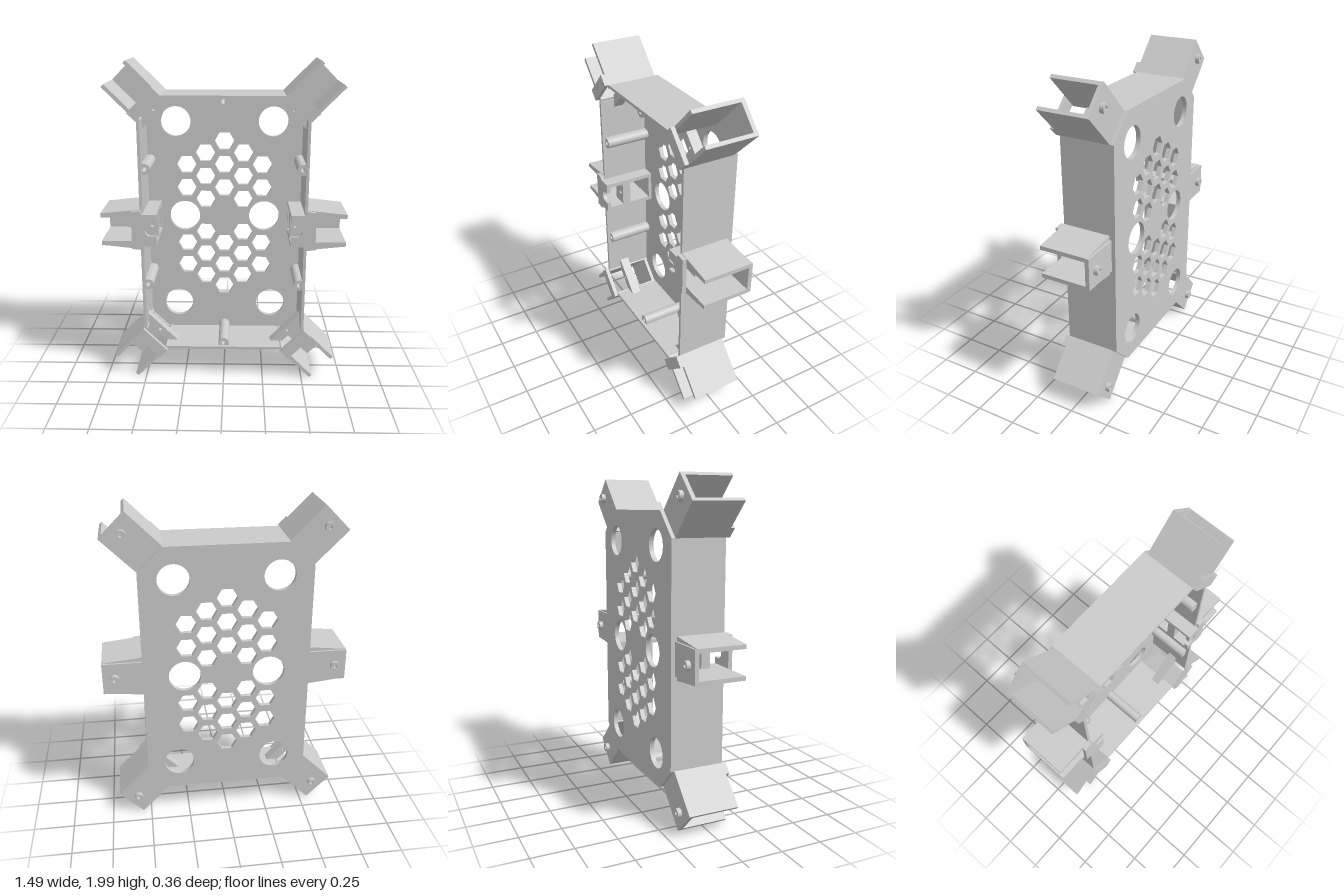
import * as THREE from 'three';

const material = new THREE.MeshStandardMaterial({ color: 0xcccccc, flatShading: true });
const MID = 1.0025;               // height of the centre of the frame
const HW = 0.505, HH = 0.8025;    // half width and half height of the tray
const CUT = 0.145;                // corner chamfer
const BACK = -0.178, FRONT = 0.155, WALL = 0.018;

function add(parent, name, geometry) {
  const mesh = new THREE.Mesh(geometry, material);
  mesh.name = name;
  parent.add(mesh);
  return mesh;
}

// Box given by its limits on each axis
function box(parent, name, x0, x1, y0, y1, z0, z1) {
  const g = new THREE.BoxGeometry(x1 - x0, y1 - y0, z1 - z0);
  g.translate((x0 + x1) / 2, (y0 + y1) / 2, (z0 + z1) / 2);
  return add(parent, name, g);
}

const polygon = pts => new THREE.Shape(pts.map(p => new THREE.Vector2(...p)));

function circle(x, y, r) {
  return new THREE.Path().absarc(x, y, r, 0, Math.PI * 2, true);
}

// Flat-topped hexagon
function hexagon(x, y, r) {
  const pts = [];
  for (let i = 0; i < 6; i++) {
    const a = -i * Math.PI / 3;
    pts.push(new THREE.Vector2(x + r * Math.cos(a), y + r * Math.sin(a)));
  }
  return new THREE.Path(pts);
}

// Extrude a shape between two z levels
function slab(parent, name, shape, z0, z1) {
  const g = new THREE.ExtrudeGeometry(shape, { depth: z1 - z0, bevelEnabled: false, curveSegments: 24 });
  g.translate(0, 0, z0);
  return add(parent, name, g);
}

// Back plate with round openings and two honeycomb fields
function addBackPlate(parent) {
  const a = HW - CUT, b = HH - CUT;
  const plate = polygon([[a, -HH], [HW, -b], [HW, b], [a, HH], [-a, HH], [-HW, b], [-HW, -b], [-a, -HH]]);
  for (const sx of [-1, 1]) {
    plate.holes.push(circle(sx * 0.255, 0, 0.097));
    for (const sy of [-1, 1]) plate.holes.push(circle(sx * 0.305, sy * 0.61, 0.093));
  }
  const columns = [[0, 0.488, 3], [0.12, 0.412, 3], [-0.12, 0.412, 3], [0.24, 0.337, 2], [-0.24, 0.337, 2]];
  for (const [x, top, count] of columns)
    for (let i = 0; i < count; i++)
      for (const s of [-1, 1]) plate.holes.push(hexagon(x, s * (top - i * 0.1505), 0.062));
  slab(parent, 'backPlate', plate, BACK, -0.15);
}

// Walls, leaving gaps where the arms open into the tray
function addWalls(parent) {
  const a = HW - CUT, b = HH - CUT;
  for (const s of [-1, 1]) {
    const y = s * (HH - WALL / 2), x = s * (HW - WALL / 2), t = WALL / 2;
    box(parent, 'endWall', -a, a, y - t, y + t, -0.15, FRONT);
    for (const [y0, y1] of [[-b, -0.075], [0.075, b]])
      box(parent, 'sideWall', x - t, x + t, y0, y1, -0.15, FRONT);
    box(parent, 'sideWallSill', x - t, x + t, -0.075, 0.075, -0.15, -0.13);
  }
}

// Rounded screw column standing against a wall; local +x points to the wall
function addScrewColumn(parent, x, y, angle) {
  const r = 0.033;
  const shape = new THREE.Shape();
  shape.moveTo(0.03, r);
  shape.lineTo(0, r);
  shape.absarc(0, 0, r, Math.PI / 2, Math.PI * 1.5, false);
  shape.lineTo(0.03, -r);
  shape.closePath();
  shape.holes.push(circle(0, 0, 0.014));
  const column = slab(parent, 'screwColumn', shape, -0.15, 0.135);
  column.position.set(x, y, 0);
  column.rotation.z = angle;
}

// Hollow stud on the back of an arm
function addStud(parent, x) {
  const ring = new THREE.Shape().absarc(x, 0, 0.028, 0, Math.PI * 2, false);
  ring.holes.push(circle(x, 0, 0.011));
  slab(parent, 'backStud', ring, -0.18, -0.154);
}

// Corner arm: a channel open to the front with a short cap; local +x points outward
function addCornerArm(parent, x, y, angle) {
  const arm = new THREE.Group();
  arm.name = 'cornerArm';
  const L = 0.274, w = 0.104, t = 0.022;
  box(arm, 'armBack', 0, L, -w, w, -0.155, -0.13);
  for (const s of [-1, 1]) {
    const c = s * (w - t / 2);
    box(arm, 'armSide', -0.012, L, c - t / 2, c + t / 2, -0.15, FRONT);
  }
  box(arm, 'armCap', -0.002, 0.07, -w, w, FRONT, 0.18);
  const gusset = polygon([[-0.055, -0.14], [-0.035, -0.128], [0, -0.1], [0, 0.1], [-0.035, 0.128], [-0.055, 0.14]]);
  gusset.holes.push(circle(-0.027, 0, 0.009));
  slab(arm, 'cornerGusset', gusset, 0.005, 0.065);
  addStud(arm, 0.205);
  arm.position.set(x, y, 0);
  arm.rotation.z = angle;
  parent.add(arm);
}

// Side arm: flared channel passing through the wall; local +x points outward
function addSideArm(parent, angle) {
  const arm = new THREE.Group();
  arm.name = 'sideArm';
  const tip = 0.743, inner = 0.405;
  slab(arm, 'armBack', polygon([[inner, -0.098], [HW, -0.098], [tip, -0.098], [tip, 0.098], [inner, 0.098]]), -0.155, -0.13);
  for (const s of [-1, 1]) {
    const wall = [[inner, 0.075], [tip, 0.075], [tip, 0.1], [0.5, 0.126], [0.49, 0.1], [inner, 0.1]];
    const pts = wall.map(([px, py]) => [px, s * py]);
    slab(arm, 'armSide', polygon(pts), -0.142, FRONT);
  }
  // front cap with a rounded notch giving access to the screw
  const cap = new THREE.Shape();
  cap.moveTo(inner, -0.1);
  cap.lineTo(0.49, -0.1);
  cap.lineTo(0.5, -0.122);
  cap.lineTo(0.555, -0.117);
  cap.lineTo(0.555, 0.117);
  cap.lineTo(0.5, 0.122);
  cap.lineTo(0.49, 0.1);
  cap.lineTo(inner, 0.1);
  cap.lineTo(inner, 0.037);
  cap.lineTo(0.438, 0.037);
  cap.absarc(0.438, 0, 0.037, Math.PI / 2, -Math.PI / 2, true);
  cap.lineTo(inner, -0.037);
  cap.closePath();
  slab(arm, 'armCap', cap, FRONT, 0.18);
  // screw bar across the opening
  const bar = polygon([[inner, -0.08], [HW, -0.08], [HW, 0.08], [inner, 0.08]]);
  bar.holes.push(circle(0.442, 0, 0.012));
  slab(arm, 'screwBar', bar, 0.01, 0.065);
  addStud(arm, 0.672);
  arm.rotation.z = angle;
  parent.add(arm);
}

export function createModel() {
  const model = new THREE.Group();
  model.name = 'mountingFrame';
  const frame = new THREE.Group();
  frame.name = 'frame';
  frame.position.y = MID;
  model.add(frame);

  addBackPlate(frame);
  addWalls(frame);

  for (const s of [-1, 1]) {
    const out = s > 0 ? 0 : Math.PI;
    addScrewColumn(frame, 0, s * (HH - 0.035), s * Math.PI / 2);
    for (const y of [-0.367, 0.367]) addScrewColumn(frame, s * (HW - 0.035), y, out);
    addSideArm(frame, out);
    for (const v of [-1, 1])
      addCornerArm(frame, s * (HW - CUT / 2), v * (HH - CUT / 2), Math.atan2(v, s));
  }
  return model;
}
